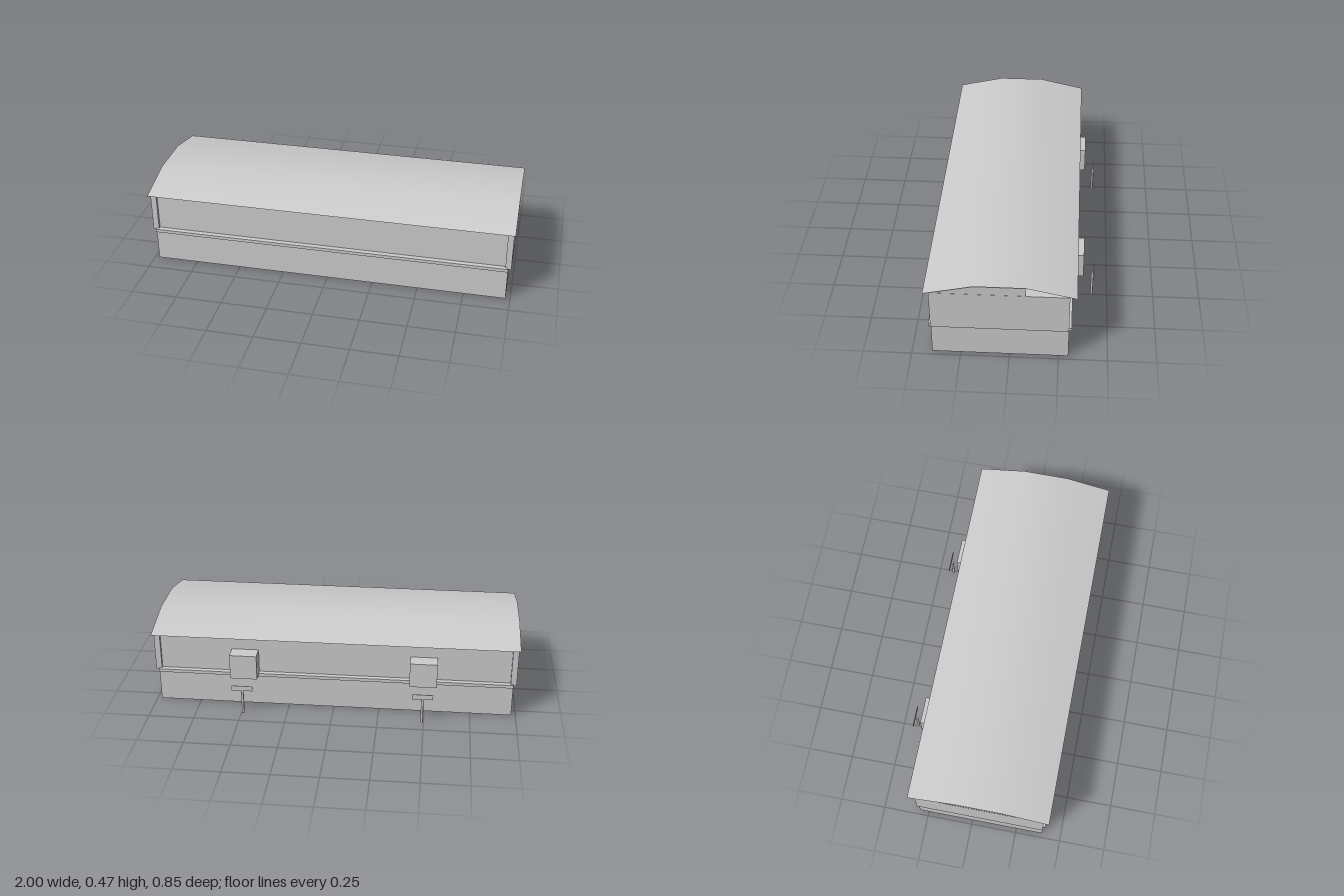
import * as THREE from 'three';

export function createModel() {
  const model = new THREE.Group();
  model.name = 'longShelter';
  const grey = new THREE.MeshStandardMaterial({ color: 0xcccccc, side: THREE.DoubleSide });
  grey.name = 'plainGrey';

  const add = (geometry, name, parent = model) => {
    const mesh = new THREE.Mesh(geometry, grey);
    mesh.name = name;
    parent.add(mesh);
    return mesh;
  };
  // Box given by its minimum and maximum on each axis
  const box = (name, [x0, x1], [y0, y1], [z0, z1], parent) => {
    const g = new THREE.BoxGeometry(x1 - x0, y1 - y0, z1 - z0);
    g.translate((x0 + x1) / 2, (y0 + y1) / 2, (z0 + z1) / 2);
    return add(g, name, parent);
  };

  const FRONT = 0.396, BACK = -0.3, MID = 0.185, EAVE = 0.41;

  // Lower skirt: four thin walls, open underneath
  const skirt = new THREE.BoxGeometry(1.952, MID, FRONT - BACK);
  skirt.translate(0, MID / 2, (FRONT + BACK) / 2);
  const wallIndex = Array.from(skirt.index.array);
  wallIndex.splice(12, 12); // drop the top and bottom faces
  skirt.setIndex(wallIndex);
  add(skirt, 'lowerWalls');

  // Upper body, recessed between the end panels
  box('upperBody', [-0.961, 0.961], [MID, EAVE], [BACK + 0.015, FRONT - 0.015]);
  for (const s of [-1, 1]) {
    const panel = box('endPanel', [-0.016, 0.016], [MID, EAVE], [BACK, FRONT]);
    panel.position.x = s * 0.977;
  }

  // Belt strips along the front and back
  box('frontBelt', [-0.976, 0.976], [0.175, 0.193], [FRONT - 0.015, 0.409]);
  box('backBelt', [-0.976, 0.976], [0.175, 0.193], [-0.313, BACK + 0.015]);

  // Arched roof: a smooth thin sheet through four points
  const arch = [[0.425, EAVE], [0.173, 0.467], [-0.081, 0.467], [-0.336, EAVE]];
  const positions = [], indices = [];
  arch.forEach(([z, y], i) => {
    positions.push(-1, y, z, 1, y, z);
    if (i < 3) {
      const a = i * 2;
      indices.push(a, a + 1, a + 3, a, a + 3, a + 2);
    }
  });
  const roof = new THREE.BufferGeometry();
  roof.setAttribute('position', new THREE.Float32BufferAttribute(positions, 3));
  roof.setIndex(indices);
  roof.computeVertexNormals();
  add(roof, 'roof');

  // Gable plates, left open behind the ridge
  const gableShape = new THREE.Shape();
  gableShape.moveTo(-0.425, EAVE);
  gableShape.lineTo(0.081, EAVE);
  gableShape.lineTo(0.081, 0.467);
  gableShape.lineTo(-0.173, 0.467);
  for (const s of [-1, 1]) {
    const g = new THREE.ShapeGeometry(gableShape);
    g.rotateY(Math.PI / 2); // shape x becomes -z
    if (s < 0) g.scale(-1, 1, 1).setIndex(Array.from(g.index.array).reverse());
    g.computeVertexNormals();
    add(g, 'gable').position.x = s * 0.992;
  }

  // Wall cabinets and small sign posts at the back
  for (const s of [-1, 1]) {
    const unit = new THREE.Group();
    unit.name = 'backUnit';
    unit.position.x = s * 0.49;
    model.add(unit);
    box('wallCabinet', [-0.074, 0.074], [MID, 0.325], [-0.367, BACK + 0.015], unit);
    const post = new THREE.CylinderGeometry(0.007, 0.007, 0.145, 8);
    post.translate(0, 0.0725, -0.417);
    add(post, 'signPost', unit);
    box('signPlate', [-0.057, 0.057], [0.143, 0.172], [-0.426, -0.423], unit);
  }
  return model;
}
